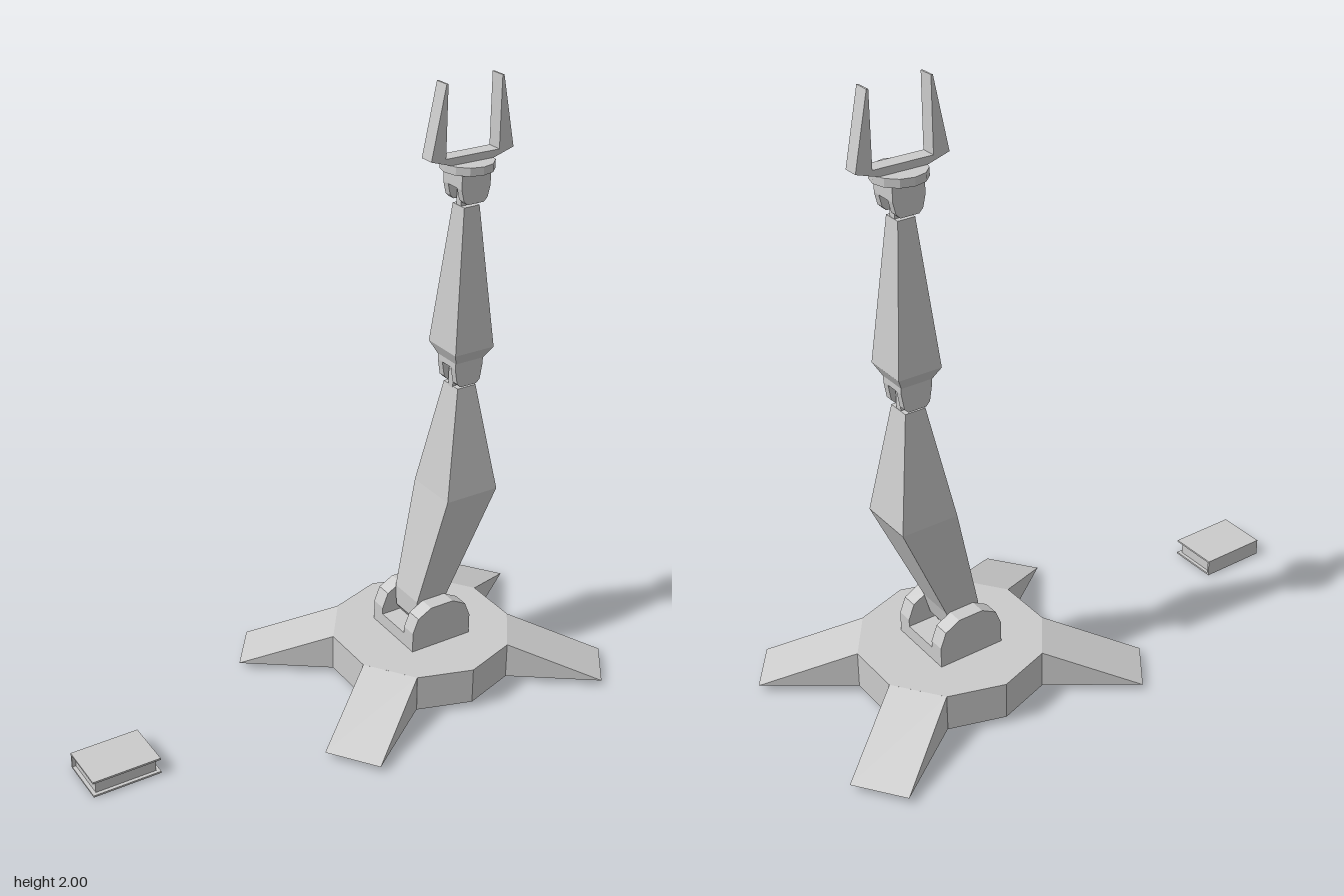
import * as THREE from 'three';

const material = new THREE.MeshStandardMaterial({ color: 0xcccccc, flatShading: true });

function add(parent, name, geometry, x = 0, y = 0, z = 0) {
  const mesh = new THREE.Mesh(geometry, material);
  mesh.name = name;
  mesh.position.set(x, y, z);
  parent.add(mesh);
  return mesh;
}

// Rectangular limb lofted through sections [y, xMin, xMax, halfDepth].
function loft(sections) {
  const pos = [];
  const index = [];
  for (const [y, x0, x1, d] of sections) {
    pos.push(x0, y, d, x1, y, d, x1, y, -d, x0, y, -d);
  }
  const last = (sections.length - 1) * 4;
  for (let s = 0; s < last; s += 4) {
    for (let i = 0; i < 4; i++) {
      const a = s + i, b = s + (i + 1) % 4;
      index.push(a, b, b + 4, a, b + 4, a + 4);
    }
  }
  index.push(0, 2, 1, 0, 3, 2, last, last + 1, last + 2, last, last + 2, last + 3);
  const g = new THREE.BufferGeometry();
  g.setAttribute('position', new THREE.Float32BufferAttribute(pos, 3));
  g.setIndex(index);
  const flat = g.toNonIndexed();
  flat.computeVertexNormals();
  return flat;
}

// Plate with an x-y outline, spanning z0 to z1.
function plate(points, z0, z1) {
  const shape = new THREE.Shape(points.map(([x, y]) => new THREE.Vector2(x, y)));
  return new THREE.ExtrudeGeometry(shape, { depth: z1 - z0, bevelEnabled: false }).translate(0, 0, z0);
}

const box = (x0, x1, y0, y1, z0, z1) =>
  new THREE.BoxGeometry(x1 - x0, y1 - y0, z1 - z0)
    .translate((x0 + x1) / 2, (y0 + y1) / 2, (z0 + z1) / 2);

// Fork joint: solid block, two rounded cheeks and the tang between them.
function forkJoint(parent, name, bottom, cheekTop, blockTop, tangBottom, tangHalf) {
  const joint = new THREE.Group();
  joint.name = name;
  parent.add(joint);
  const cx = 0.468;
  const outline = [
    [cx - 0.03, bottom], [cx + 0.03, bottom], [cx + 0.043, bottom + 0.013],
    [cx + 0.052, cheekTop], [cx - 0.052, cheekTop], [cx - 0.043, bottom + 0.013],
  ];
  add(joint, 'forkBlock', box(cx - 0.052, cx + 0.052, cheekTop, blockTop, -0.048, 0.048));
  add(joint, 'frontCheek', plate(outline, 0.023, 0.048));
  add(joint, 'backCheek', plate(outline, -0.048, -0.023));
  const h = tangHalf;
  add(joint, 'tang', plate([
    [cx - h, tangBottom], [cx + h, tangBottom], [cx + h, cheekTop - 0.02],
    [cx + h * 0.5, cheekTop], [cx - h * 0.5, cheekTop], [cx - h, cheekTop - 0.02],
  ], -0.012, 0.012));
}

export function createModel() {
  const model = new THREE.Group();
  model.name = 'roboticArmAndBook';

  // Ten-sided hub with four sloping feet
  const base = new THREE.Group();
  base.name = 'base';
  base.position.set(0.347, 0, 0);
  model.add(base);
  add(base, 'hub', new THREE.CylinderGeometry(0.303, 0.303, 0.125, 10), 0, 0.0825, 0);
  for (const angle of [36, 144, 216, 324]) {
    const foot = add(base, 'foot', plate([[0.27, 0.02], [0.606, 0.02], [0.288, 0.145], [0.27, 0.145]], -0.093, 0.093));
    foot.rotation.y = THREE.MathUtils.degToRad(angle);
  }

  // Shoulder bracket
  const bracket = new THREE.Group();
  bracket.name = 'shoulderBracket';
  model.add(bracket);
  add(bracket, 'bracketFloor', box(0.235, 0.46, 0.14, 0.19, -0.065, 0.065));
  const cheek = [
    [0.235, 0.14], [0.46, 0.14], [0.46, 0.215], [0.44, 0.265], [0.39, 0.292],
    [0.305, 0.292], [0.255, 0.265], [0.235, 0.215],
  ];
  add(bracket, 'frontCheek', plate(cheek, 0.065, 0.117));
  add(bracket, 'backCheek', plate(cheek, -0.117, -0.065));

  // Arm segments
  add(model, 'lowerArm', loft([
    [0.19, 0.305, 0.365, 0.055], [0.22, 0.285, 0.385, 0.058], [0.29, 0.285, 0.402, 0.064],
    [0.655, 0.372, 0.563, 0.094], [1.02, 0.435, 0.503, 0.038],
  ]));
  add(model, 'upperArm', loft([
    [1.115, 0.416, 0.52, 0.05], [1.155, 0.397, 0.541, 0.073], [1.615, 0.44, 0.496, 0.03],
  ]));
  forkJoint(model, 'elbow', 1.03, 1.095, 1.116, 1.01, 0.034);
  forkJoint(model, 'wrist', 1.63, 1.68, 1.73, 1.6, 0.027);

  // Hand: round plate and two-fingered gripper
  add(model, 'wristPlate', new THREE.CylinderGeometry(0.083, 0.083, 0.026, 12), 0.468, 1.74, 0);
  const half = [[0.078, 1.753], [0.148, 1.775], [0.102, 2.0], [0.096, 2.0], [0.096, 1.776]];
  const mirrored = half.map(([x, y]) => [-x, y]).reverse();
  add(model, 'gripper', plate([...half, ...mirrored], -0.025, 0.025), 0.468, 0, 0);

  // Closed book with its spine at the back
  const book = new THREE.Group();
  book.name = 'book';
  model.add(book);
  add(book, 'bottomCover', box(-0.895, -0.668, 0, 0.006, -0.085, 0.082));
  add(book, 'topCover', box(-0.895, -0.668, 0.05, 0.056, -0.085, 0.082));
  add(book, 'spine', box(-0.895, -0.668, 0.006, 0.05, -0.085, -0.079));
  add(book, 'pages', box(-0.883, -0.68, 0.006, 0.05, -0.079, 0.07));

  return model;
}
